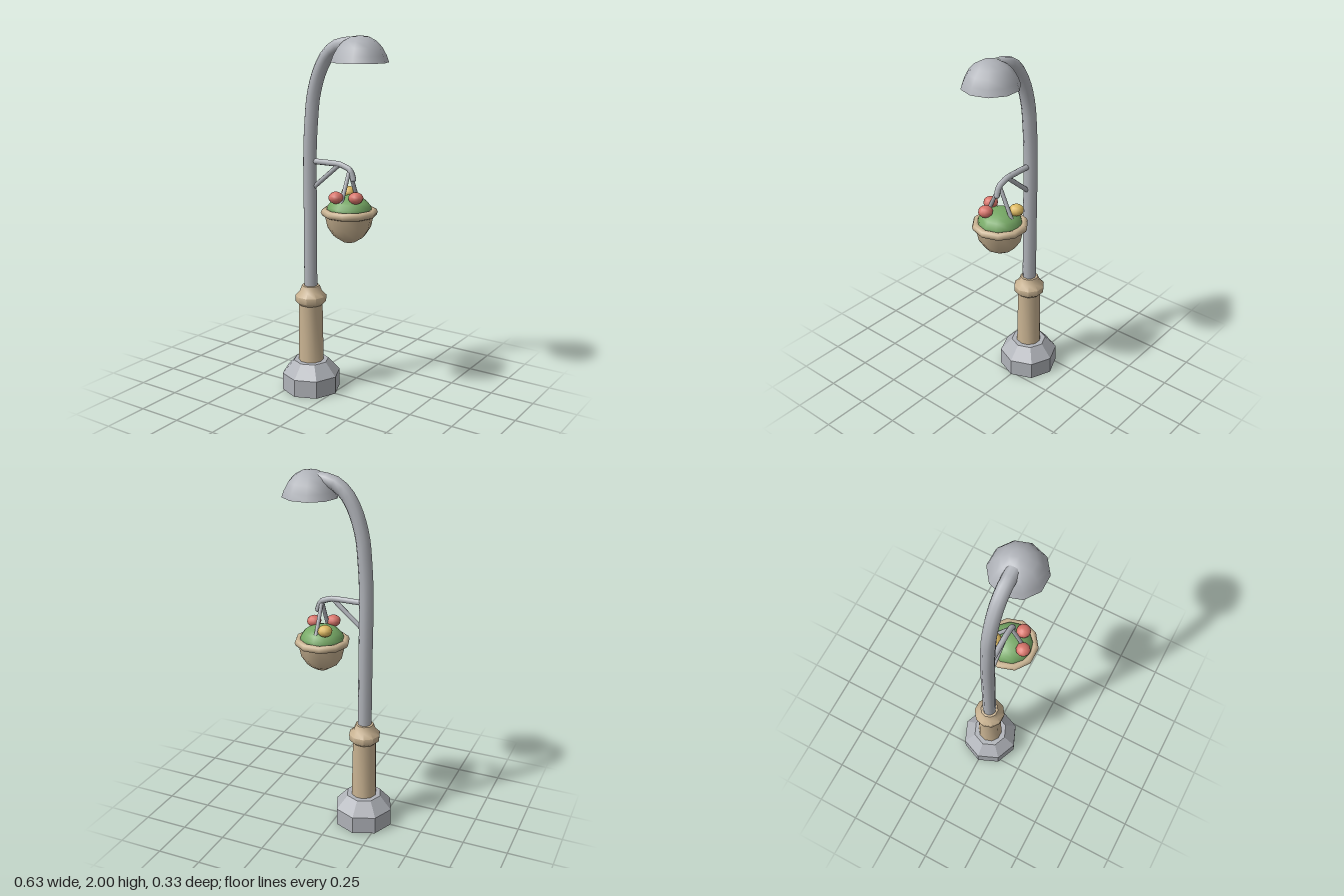
import * as THREE from 'three';
import { toCreasedNormals } from 'three/addons/utils/BufferGeometryUtils.js';

function material(name, color) {
  const m = new THREE.MeshStandardMaterial({ color });
  m.name = name;
  return m;
}

export function createModel() {
  const root = new THREE.Group();
  root.name = 'streetLamp';
  const grey = material('greyMetal', 0xb0b3b9);
  const tan = material('tanPaint', 0xc9b392);
  const green = material('leafGreen', 0x76a865);
  const red = material('flowerRed', 0xd8746a);
  const yellow = material('flowerYellow', 0xdcb860);
  const poleX = -0.15, basketX = 0.105, lampX = 0.165;

  const add = (name, geometry, mat, x = 0, y = 0, z = 0) => {
    const mesh = new THREE.Mesh(geometry, mat);
    mesh.name = name;
    mesh.position.set(x, y, z);
    root.add(mesh);
    return mesh;
  };
  // Turned shape with a corner pointing along x
  const lathe = (profile, sides, crease) => {
    const g = new THREE.LatheGeometry(profile.map(p => new THREE.Vector2(...p)), sides);
    g.rotateY(Math.PI / 2);
    return toCreasedNormals(g, crease);
  };
  const points = list => list.map(p => new THREE.Vector3(...p));
  // Straight round rod between two points
  const rod = (name, from, to, radius) => {
    const [a, b] = points([from, to]);
    const g = new THREE.CylinderGeometry(radius, radius, a.distanceTo(b), 8);
    const mesh = add(name, g, grey);
    mesh.position.copy(a).add(b).multiplyScalar(0.5);
    mesh.quaternion.setFromUnitVectors(new THREE.Vector3(0, 1, 0), b.sub(a).normalize());
  };

  // Faceted octagonal foot
  add('base', lathe([[0, 0], [0.166, 0], [0.166, 0.1], [0.1, 0.175], [0, 0.175]], 8, 0.3), grey, poleX);

  // Lower column with its bulging collar
  add('column', lathe([[0.071, 0.17], [0.066, 0.51]], 10, 0.9), tan, poleX);
  add('collar', lathe([[0.064, 0.505], [0.086, 0.525], [0.088, 0.56],
    [0.062, 0.585], [0.05, 0.618], [0.03, 0.62]], 10, 0.9), tan, poleX);

  // Pole bending over to the lamp
  const polePath = new THREE.CatmullRomCurve3(points([
    [poleX, 0.58, 0], [poleX, 1, 0], [poleX, 1.38, 0], [-0.14, 1.55, 0], [-0.125, 1.68, 0],
    [-0.085, 1.81, 0], [-0.03, 1.9, 0], [0.035, 1.945, 0], [0.12, 1.958, 0]]));
  add('pole', new THREE.TubeGeometry(polePath, 32, 0.038, 10), grey);

  // Lamp shade: outer dome, rim and hollow inside in one profile
  add('lampShade', lathe([[0, 1.955], [0.06, 1.94], [0.105, 1.91], [0.13, 1.865],
    [0.15, 1.865], [0.137, 1.9], [0.115, 1.94], [0.085, 1.972], [0.045, 1.994], [0, 2]], 10, 0.8), grey, lampX);

  // Bracket, brace and hanging wires
  const arm = new THREE.CurvePath();
  const armPoints = points([[-0.14, 1.325, 0], [0.04, 1.325, 0], [0.11, 1.3, 0], [0.13, 1.25, 0]]);
  const armCurve = new THREE.CatmullRomCurve3(armPoints, false, 'catmullrom', 0.2);
  add('bracketArm', new THREE.TubeGeometry(armCurve, 15, 0.016, 8), grey);
  const hookEnd = new THREE.SphereGeometry(0.016, 8, 6);
  add('hookEnd', hookEnd, grey, 0.129, 1.253, 0);
  rod('bracketBrace', [-0.14, 1.17, 0], [0.035, 1.318, 0], 0.013);
  for (const side of [-1, 1]) rod('hangingWire', [basketX, 1.3, 0], [basketX, 1.07, side * 0.108], 0.011);

  // Flower basket with a rolled rim
  add('basketBowl', lathe([[0, 0.905], [0.035, 0.91], [0.085, 0.942], [0.117, 0.99],
    [0.132, 1.06], [0.11, 1.08], [0, 1.08]], 10, 0.9), tan, basketX);
  const rim = new THREE.TorusGeometry(0.131, 0.022, 8, 10);
  rim.rotateX(Math.PI / 2);
  add('basketRim', rim, tan, basketX, 1.072);

  // Planting
  const leaves = new THREE.SphereGeometry(0.122, 12, 10);
  leaves.scale(1, 0.68, 1);
  add('foliage', leaves, green, basketX, 1.08);
  const flower = new THREE.SphereGeometry(0.04, 10, 8);
  flower.scale(1, 0.8, 1);
  add('redFlower', flower, red, 0.077, 1.163, 0.088);
  add('redFlower', flower, red, 0.172, 1.163, 0.042);
  add('yellowFlower', flower, yellow, 0.055, 1.163, -0.072);

  return root;
}
